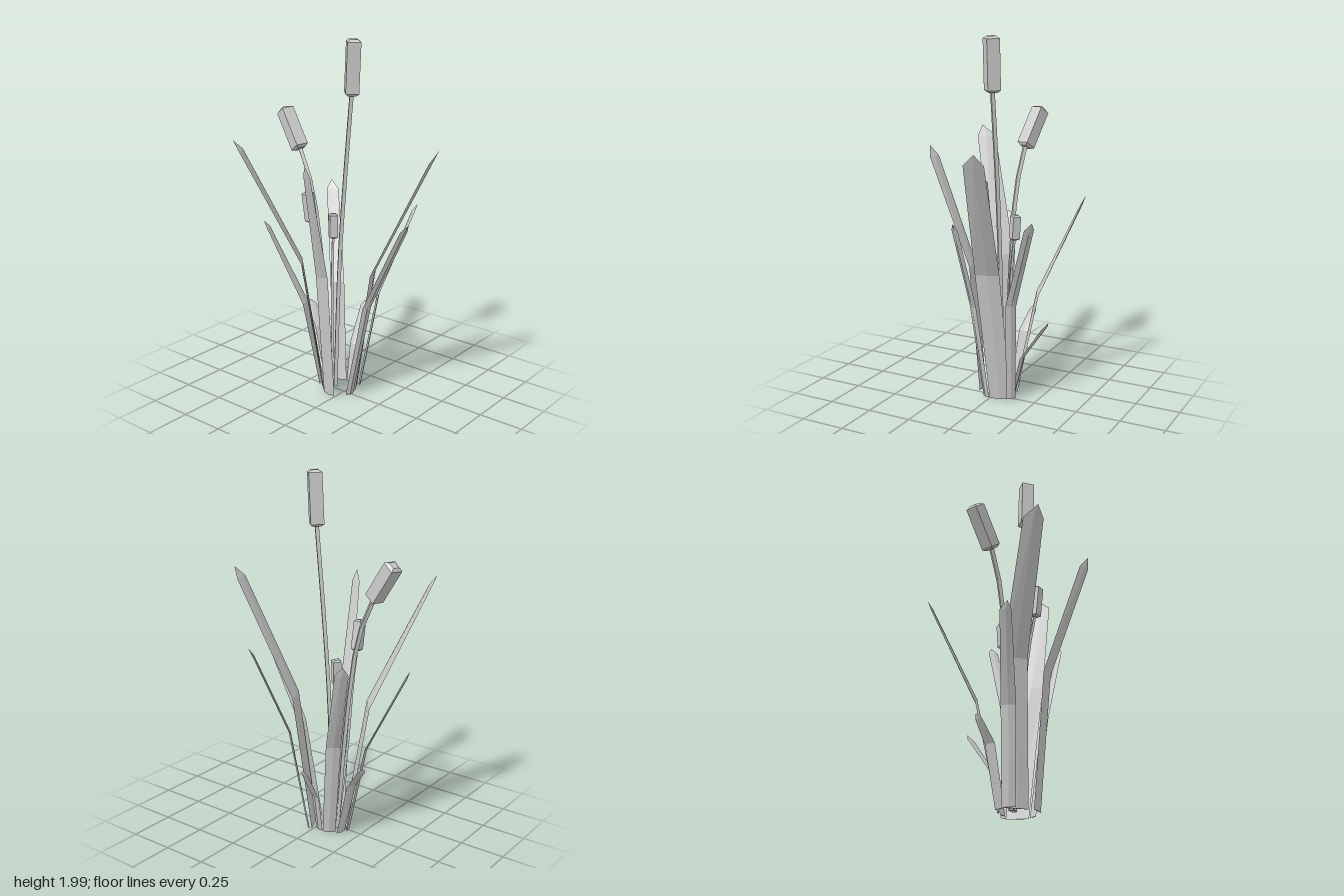
import * as THREE from 'three';

const material = new THREE.MeshStandardMaterial({ color: 0xcccccc, flatShading: true, side: THREE.DoubleSide });
const vec = (a) => new THREE.Vector3(...a);

// Bent leaf: diamond cross-sections at base, knee and shoulder, closed by a point.
// w0 and w1 are the half-width directions [x, z] below the knee and at the shoulder.
function makeBlade({ base, knee, shoulder, tip, w0, w1 }) {
  const rise = vec(shoulder).sub(vec(base));
  const pos = [];
  const index = [];
  [[base, w0, 0.9, 0], [knee, w0, 1, 0.004], [shoulder, w1, 1, 0.004]].forEach(([c, w, scale, inner]) => {
    const centre = vec(c);
    const half = new THREE.Vector3(w[0], 0, w[1]).multiplyScalar(scale);
    const out = new THREE.Vector3(-half.z, 0, half.x);
    if (out.dot(rise) < 0) { half.negate(); out.negate(); }
    out.normalize();
    pos.push(
      ...centre.clone().sub(half).toArray(),
      ...centre.clone().addScaledVector(out, 0.008).toArray(),
      ...centre.clone().add(half).toArray(),
      ...centre.clone().addScaledVector(out, -inner).toArray(),
    );
  });
  pos.push(...tip);
  for (let s = 0; s < 2; s++) {
    for (let j = 0; j < 4; j++) {
      const a = s * 4 + j, b = s * 4 + (j + 1) % 4;
      index.push(a, b, b + 4, a, b + 4, a + 4);
    }
  }
  for (let j = 0; j < 4; j++) index.push(8 + j, 8 + (j + 1) % 4, 12);
  index.push(0, 2, 1, 0, 3, 2);
  const geo = new THREE.BufferGeometry();
  geo.setAttribute('position', new THREE.Float32BufferAttribute(pos, 3));
  geo.setIndex(index);
  geo.computeVertexNormals();
  return new THREE.Mesh(geo, material);
}

// Square stalk along a path, topped by a bevelled four-sided seed head
function makeReed({ path, top, radius, stalk, spin }) {
  const reed = new THREE.Group();
  const points = path.map(vec);
  const curve = new THREE.CatmullRomCurve3(points);
  const stem = new THREE.Mesh(new THREE.TubeGeometry(curve, 8, stalk, 4), material);
  stem.name = 'stem';

  const foot = points[points.length - 1];
  const axis = vec(top).sub(foot);
  const h = axis.length();
  const bevel = radius * 0.25;
  const profile = [
    [0, 0], [radius * 0.6, 0], [radius, bevel],
    [radius, h - bevel], [radius * 0.55, h], [0, h],
  ].map(([x, y]) => new THREE.Vector2(x, y));
  const head = new THREE.Mesh(new THREE.LatheGeometry(profile, 4, spin), material);
  head.name = 'seedHead';
  head.position.copy(foot);
  head.quaternion.setFromUnitVectors(new THREE.Vector3(0, 1, 0), axis.normalize());
  reed.add(stem, head);
  return reed;
}

export function createModel() {
  const model = new THREE.Group();
  model.name = 'reedClump';

  const blades = {
    backLeftBlade: { base: [-0.1, 0.02, -0.09], knee: [-0.19, 0.58, -0.175], shoulder: [-0.368, 1.07, -0.352], tip: [-0.39, 1.12, -0.372], w0: [0.033, -0.022], w1: [0.033, -0.013] },
    backShortBlade: { base: [-0.04, 0.02, -0.1], knee: [-0.052, 0.24, -0.15], shoulder: [-0.072, 0.43, -0.275], tip: [-0.078, 0.46, -0.294], w0: [0.025, 0.003], w1: [0.027, 0.005] },
    backRightBlade: { base: [0.02, 0.02, -0.115], knee: [0.115, 0.59, -0.16], shoulder: [0.23, 1.05, -0.318], tip: [0.244, 1.09, -0.34], w0: [0.02, 0.022], w1: [0.02, 0.018] },
    rightLongBlade: { base: [0.03, 0.012, -0.055], knee: [0.165, 0.76, -0.045], shoulder: [0.466, 1.4, -0.13], tip: [0.498, 1.46, -0.148], w0: [0.025, 0.06], w1: [0.016, 0.05] },
    rightNarrowBlade: { base: [0.055, 0.02, 0.02], knee: [0.182, 0.58, 0.032], shoulder: [0.403, 1.05, 0.013], tip: [0.43, 1.09, 0.01], w0: [0.01, -0.024], w1: [0.008, -0.023] },
    frontBlade: { base: [-0.035, 0.02, 0.09], knee: [-0.033, 0.74, 0.15], shoulder: [0.038, 1.35, 0.345], tip: [0.046, 1.41, 0.368], w0: [0.041, 0], w1: [0.031, 0.01] },
    frontLeftLongBlade: { base: [-0.13, 0.018, 0.025], knee: [-0.242, 0.76, 0.07], shoulder: [-0.468, 1.4, 0.292], tip: [-0.49, 1.46, 0.33], w0: [0.043, 0.05], w1: [0.03, 0.043] },
    leftMediumBlade: { base: [-0.165, 0.02, 0.0], knee: [-0.25, 0.51, 0.04], shoulder: [-0.442, 0.935, 0.123], tip: [-0.458, 0.975, 0.142], w0: [0.014, 0.036], w1: [0.014, 0.026] },
    leftShortBlade: { base: [-0.155, 0.02, -0.055], knee: [-0.235, 0.33, -0.07], shoulder: [-0.313, 0.44, -0.092], tip: [-0.328, 0.465, -0.1], w0: [0.008, -0.032], w1: [0.012, -0.024] },
  };

  const reeds = {
    tallReed: { path: [[-0.075, 0.02, -0.015], [-0.042, 0.8, -0.015], [-0.006, 1.25, -0.015], [0.04, 1.71, -0.012]], top: [0.054, 2.0, -0.012], radius: 0.05, stalk: 0.014, spin: 0 },
    leaningReed: { path: [[-0.105, 0.02, -0.02], [-0.17, 0.75, -0.018], [-0.235, 1.16, -0.018], [-0.327, 1.375, -0.025]], top: [-0.468, 1.58, -0.055], radius: 0.05, stalk: 0.014, spin: 0.5 },
    frontShortReed: { path: [[-0.095, 0.02, 0.0], [-0.122, 0.5, 0.05], [-0.125, 0.85, 0.09], [-0.125, 1.03, 0.125]], top: [-0.131, 1.2, 0.145], radius: 0.033, stalk: 0.009, spin: 0.7 },
    backShortReed: { path: [[-0.095, 0.02, -0.025], [-0.115, 0.4, -0.035], [-0.12, 0.7, -0.045], [-0.126, 0.89, -0.06]], top: [-0.129, 1.03, -0.067], radius: 0.032, stalk: 0.009, spin: 0.1 },
  };

  const add = (specs, make) => {
    for (const [name, spec] of Object.entries(specs)) {
      const part = make(spec);
      part.name = name;
      model.add(part);
    }
  };
  add(blades, makeBlade);
  add(reeds, makeReed);
  return model;
}
